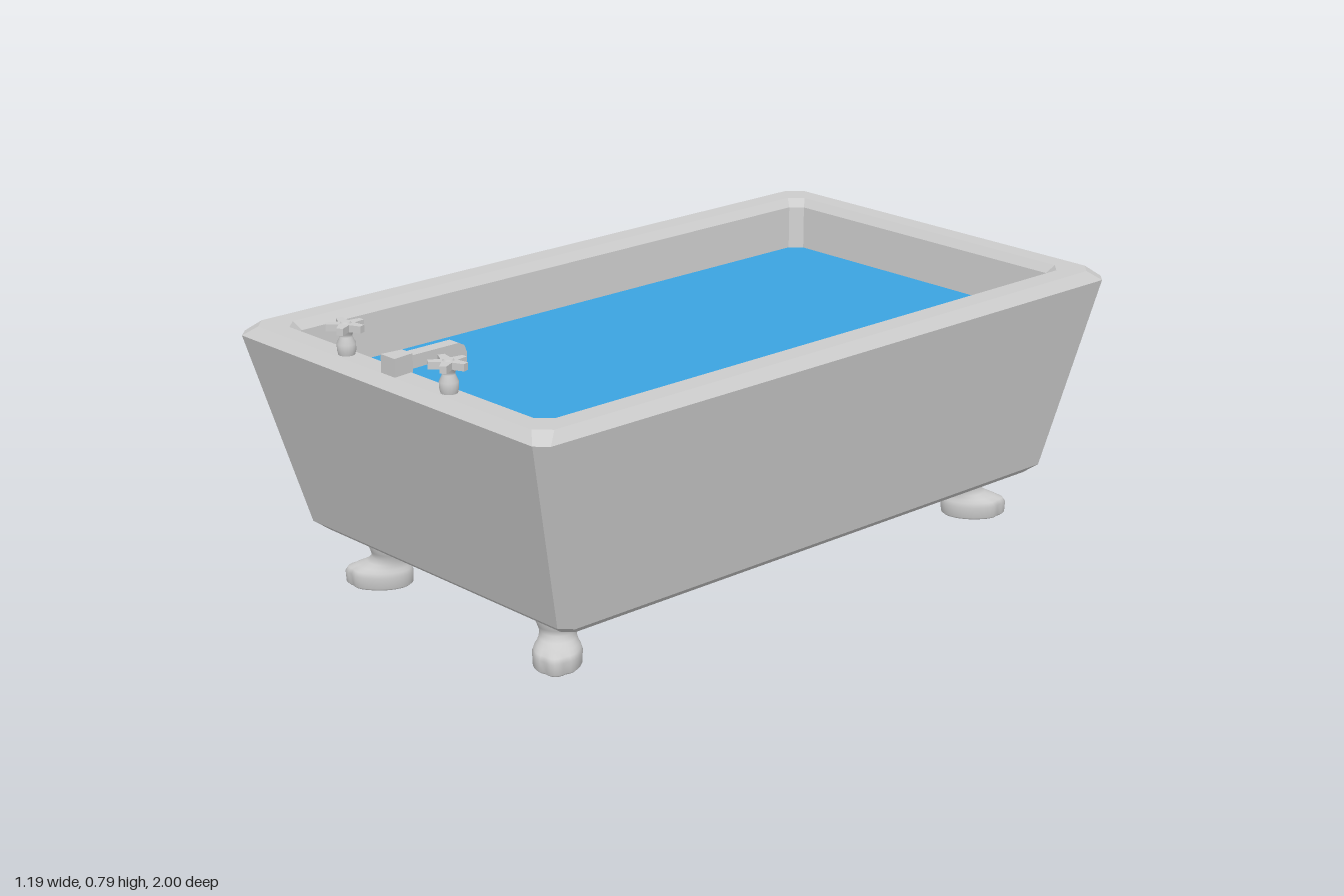
import * as THREE from 'three';

const grey = new THREE.MeshStandardMaterial({ color: 0xcccccc });
const greyFlat = new THREE.MeshStandardMaterial({ color: 0xcccccc, flatShading: true });
const greyOpen = new THREE.MeshStandardMaterial({ color: 0xcccccc, flatShading: true, side: THREE.DoubleSide });
const blue = new THREE.MeshStandardMaterial({ color: 0x3ba3e0 });

function add(parent, name, geometry, material, x = 0, y = 0, z = 0) {
  const mesh = new THREE.Mesh(geometry, material);
  mesh.name = name;
  mesh.position.set(x, y, z);
  parent.add(mesh);
  return mesh;
}

// Skin over closed rings of [x, y, z] points, with a flat cap under the first ring
function loft(rings) {
  const n = rings[0].length;
  const pos = rings.flat(2);
  const index = [];
  for (let i = 0; i < rings.length - 1; i++) {
    for (let j = 0; j < n; j++) {
      const k = (j + 1) % n;
      const a = i * n + j, b = i * n + k;
      index.push(a, a + n, b + n, a, b + n, b);
    }
  }
  const base = pos.length / 3;
  pos.push(...rings[0].flat());
  for (let j = 1; j < n - 1; j++) index.push(base, base + j, base + j + 1);
  const g = new THREE.BufferGeometry();
  g.setAttribute('position', new THREE.Float32BufferAttribute(pos, 3));
  g.setIndex(index);
  g.computeVertexNormals();
  return g;
}

// Rectangle with cut corners
function cutRect(w, d, c) {
  return [[w, -d + c], [w, d - c], [w - c, d], [-w + c, d],
    [-w, d - c], [-w, -d + c], [-w + c, -d], [w - c, -d]];
}

// Paw foot: leg bulge, ankle and a lobed foot stretched along local +x
function footGeometry() {
  // height, forward offset, half length, half width, toe depth
  const sections = [
    [0, 0.03, 0.08, 0.054, 0.1], [0.006, 0.03, 0.087, 0.061, 0.12],
    [0.035, 0.03, 0.089, 0.062, 0.12], [0.047, 0.028, 0.083, 0.058, 0.1],
    [0.055, 0.02, 0.069, 0.052, 0.05], [0.066, 0.008, 0.053, 0.047, 0],
    [0.08, 0.001, 0.047, 0.046, 0], [0.094, 0, 0.051, 0.051, 0],
    [0.112, 0, 0.058, 0.058, 0], [0.127, 0, 0.058, 0.058, 0], [0.145, 0, 0.05, 0.05, 0],
  ];
  const n = 36;
  return loft(sections.map(([y, o, a, b, toe]) => Array.from({ length: n }, (_, j) => {
    const t = (j / n) * Math.PI * 2;
    const r = 1 - toe * (1 - Math.abs(Math.cos(3 * t))) * Math.max(0, Math.cos(t));
    return [o + a * r * Math.cos(t), y, b * r * Math.sin(t)];
  })));
}

// Five-armed star for the tap handles, lying flat
function handleGeometry() {
  const shape = new THREE.Shape();
  for (let i = 0; i < 5; i++) {
    const t = Math.PI / 2 + (i * Math.PI * 2) / 5;
    for (const [r, da] of [[0.022, -0.6], [0.05, -0.17], [0.05, 0.17]]) {
      const x = r * Math.cos(t + da), y = r * Math.sin(t + da);
      if (i === 0 && da === -0.6) shape.moveTo(x, y);
      else shape.lineTo(x, y);
    }
  }
  shape.closePath();
  const g = new THREE.ExtrudeGeometry(shape, { depth: 0.018, bevelEnabled: false });
  return g.rotateX(-Math.PI / 2);
}

export function createModel() {
  const model = new THREE.Group();
  model.name = 'bathtub';

  // Tub shell: up the outside, over the rim, down the inside
  const profile = [
    [0.14, 0.484, 0.832, 0.025], [0.165, 0.515, 0.864, 0.03],
    [0.678, 0.597, 1.0, 0.03], [0.704, 0.57, 0.973, 0.037],
    [0.704, 0.51, 0.918, 0.035], [0.682, 0.49, 0.9, 0.03], [0.55, 0.48, 0.889, 0.03],
  ];
  add(model, 'tubShell',
    loft(profile.map(([y, w, d, c]) => cutRect(w, d, c).map(([x, z]) => [x, y, z]))), greyOpen);

  // Water surface
  const waterShape = new THREE.Shape(cutRect(0.482, 0.891, 0.03).map(([x, z]) => new THREE.Vector2(x, z)));
  add(model, 'water', new THREE.ShapeGeometry(waterShape).rotateX(-Math.PI / 2), blue, 0, 0.565, 0);

  // Four feet, toes turned out to the corners
  const foot = footGeometry();
  for (const sx of [-1, 1]) {
    for (const sz of [-1, 1]) {
      const mesh = add(model, (sz > 0 ? 'front' : 'back') + (sx > 0 ? 'Left' : 'Right') + 'Foot',
        foot, grey, sx * 0.333, 0, sz * 0.733);
      mesh.rotation.y = Math.atan2(-sz, sx);
    }
  }

  // Taps: turned stem and star handle
  const stem = new THREE.LatheGeometry([
    [0.021, 0], [0.024, 0.012], [0.024, 0.028], [0.016, 0.046], [0.016, 0.052], [0.023, 0.063],
  ].map(([r, y]) => new THREE.Vector2(r, y)), 16);
  const handle = handleGeometry();
  for (const sx of [-1, 1]) {
    const tap = new THREE.Group();
    tap.name = sx > 0 ? 'leftTap' : 'rightTap';
    tap.position.set(sx * 0.2, 0.704, 0.945);
    add(tap, 'stem', stem, grey);
    add(tap, 'handle', handle, greyFlat, 0, 0.062, 0);
    add(tap, 'cap', new THREE.CylinderGeometry(0.012, 0.016, 0.006, 12), grey, 0, 0.081, 0);
    model.add(tap);
  }

  // Spout: base block narrowing towards the bath
  const block = new THREE.BoxGeometry(0.054, 0.048, 0.06);
  const p = block.attributes.position;
  for (let i = 0; i < p.count; i++) if (p.getZ(i) < 0) p.setX(i, p.getX(i) * 0.75);
  block.computeVertexNormals();
  add(model, 'spoutBase', block, greyFlat, 0, 0.727, 0.942);

  // Spout: arm with a bent-down tip, drawn in (z, y)
  const arm = new THREE.Shape([
    [0.94, 0.745], [0.768, 0.745], [0.751, 0.736], [0.744, 0.718], [0.744, 0.68],
    [0.775, 0.68], [0.775, 0.708], [0.785, 0.714], [0.94, 0.71],
  ].map(([z, y]) => new THREE.Vector2(z, y)));
  const armGeometry = new THREE.ExtrudeGeometry(arm, { depth: 0.036, bevelEnabled: false });
  armGeometry.translate(0, 0, -0.018).rotateY(-Math.PI / 2);
  add(model, 'spoutArm', armGeometry, greyFlat);

  return model;
}
